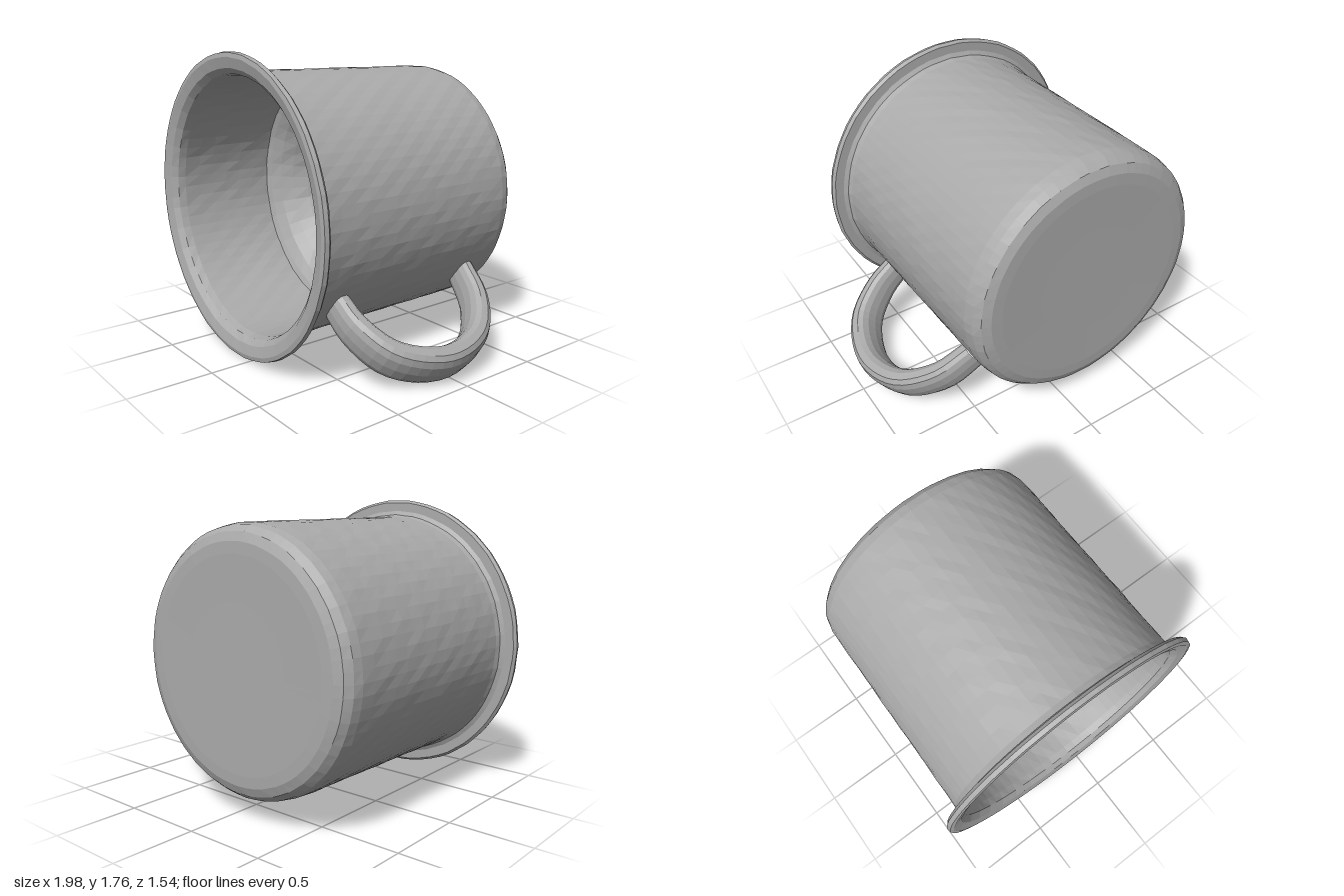
import * as THREE from 'three';

// Profile points are [radius, z]; the mug's axis runs along z and its mouth faces +z.
function lathe(points, segments) {
  const geo = new THREE.LatheGeometry(points.map(([r, z]) => new THREE.Vector2(r, z)), segments);
  geo.rotateX(Math.PI / 2);
  return geo;
}

// Slight hand-beaten unevenness along the radius.
function dent(geo, amount) {
  const p = geo.attributes.position;
  for (let i = 0; i < p.count; i++) {
    const x = p.getX(i), y = p.getY(i), z = p.getZ(i);
    const k = 1 + amount * Math.sin(37 * x + 11 * z) * Math.sin(31 * y - 23 * z);
    p.setXYZ(i, x * k, y * k, z);
  }
  geo.computeVertexNormals();
  return geo;
}

// Sweep a rounded-box section along a curve lying in the local xz plane.
function handleGeometry(path, rings, sides, halfThick, halfWidth) {
  const pos = [], index = [];
  const round = v => Math.sign(v) * Math.pow(Math.abs(v), 0.8);
  for (let i = 0; i <= rings; i++) {
    const c = path.getPointAt(i / rings), t = path.getTangentAt(i / rings);
    const taper = 0.8 + 0.2 * Math.sin(Math.PI * i / rings);
    for (let j = 0; j < sides; j++) {
      const a = j / sides * Math.PI * 2;
      const u = round(Math.cos(a)) * halfThick * taper;
      const w = round(Math.sin(a)) * halfWidth * taper;
      pos.push(c.x - t.z * u, w, c.z + t.x * u);
    }
  }
  for (let i = 0; i < rings; i++) {
    for (let j = 0; j < sides; j++) {
      const k = (j + 1) % sides;
      const a = i * sides + j, b = a + sides, c = i * sides + k, d = c + sides;
      index.push(a, b, c, b, d, c);
    }
  }
  const geo = new THREE.BufferGeometry();
  geo.setAttribute('position', new THREE.Float32BufferAttribute(pos, 3));
  geo.setIndex(index);
  geo.computeVertexNormals();
  return geo;
}

export function createModel() {
  const model = new THREE.Group();
  model.name = 'mug';
  const grey = new THREE.MeshStandardMaterial({ color: 0xaaaaaa });
  grey.name = 'grey';
  grey.flatShading = true;

  const add = (name, geo) => {
    const mesh = new THREE.Mesh(geo, grey);
    mesh.name = name;
    mesh.position.set(-0.12, 0.895, 0);
    model.add(mesh);
    return mesh;
  };

  // Cup: base, rounded heel, wall, flared lip, inner wall and floor
  const profile = [[0, -0.765], [0.35, -0.765], [0.6, -0.768], [0.665, -0.765], [0.715, -0.745],
    [0.748, -0.705], [0.76, -0.65]];
  const rows = 14;
  for (let i = 1; i < rows; i++) {
    profile.push([0.762 + 0.011 * i / rows, -0.65 + 1.32 * i / rows]);
  }
  profile.push([0.775, 0.67], [0.785, 0.705], [0.81, 0.72], [0.865, 0.722], [0.88, 0.74],
    [0.875, 0.765], [0.85, 0.77], [0.79, 0.755], [0.757, 0.725], [0.748, 0.68]);
  for (let i = 1; i <= rows; i++) profile.push([0.748 - 0.008 * i / rows, 0.68 - 1.38 * i / rows]);
  profile.push([0.4, -0.7], [0, -0.7]);
  add('cup', dent(lathe(profile, 72), 0.003));

  // Funnel-shaped filling that leaves a round well down to the floor
  add('innerFunnel', dent(lathe([[0.755, 0.07], [0.71, 0.05], [0.65, 0.01], [0.59, -0.05],
    [0.53, -0.13], [0.475, -0.24], [0.43, -0.38], [0.405, -0.53], [0.395, -0.71]], 48), 0.008));

  // Side handle
  const path = new THREE.CatmullRomCurve3([[0.755, 0.485], [0.93, 0.47], [1.14, 0.36], [1.26, 0.08],
    [1.19, -0.22], [0.98, -0.41], [0.755, -0.475]].map(([s, z]) => new THREE.Vector3(s, 0, z)));
  const handle = add('handle', handleGeometry(path, 28, 14, 0.072, 0.125));
  handle.rotation.z = -0.658;

  return model;
}
